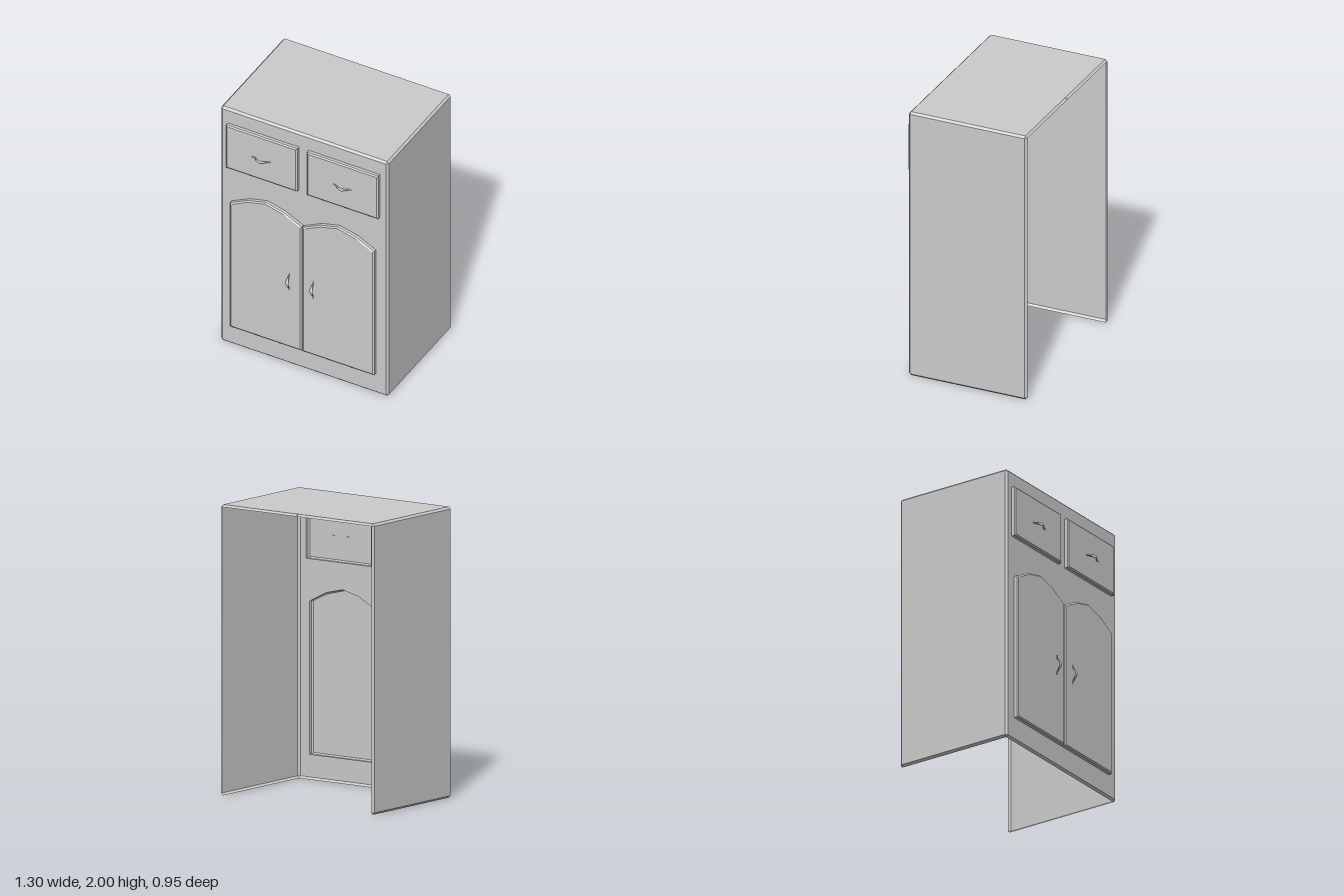
import * as THREE from 'three';

const material = new THREE.MeshStandardMaterial({ color: 0xcccccc, flatShading: true, side: THREE.DoubleSide });
const smooth = new THREE.MeshStandardMaterial({ color: 0xcccccc });

// Outer (a) and chamfer-inset (b) limits of the open carcass
const XA = 0.65, XB = 0.635, BOTTOM = 0, YB = 0.015, YT = 1.985, TOP = 2;
const BACK = -0.475, ZB = -0.46, ZF = 0.395, FRONT = 0.41;
const PANEL_Z = 0.44, BEVEL = 0.01;

function add(group, name, geometry, mat = material) {
  const mesh = new THREE.Mesh(geometry, mat);
  mesh.name = name;
  group.add(mesh);
  return mesh;
}

// Flat polygons given as corner lists, fanned into triangles
function polygons(list) {
  const pos = [];
  for (const p of list)
    for (let i = 1; i < p.length - 1; i++) pos.push(...p[0], ...p[i], ...p[i + 1]);
  const g = new THREE.BufferGeometry();
  g.setAttribute('position', new THREE.Float32BufferAttribute(pos, 3));
  g.computeVertexNormals();
  return g;
}

const toShape = (pts) => new THREE.Shape(pts.map(([x, y]) => new THREE.Vector2(x, y)));

// Rectangle with an optional polygonal arch on top
function outline(x0, x1, y0, y1, rise = 0) {
  const pts = [[x0, y0], [x1, y0], [x1, y1]];
  const w = x1 - x0;
  if (rise) pts.push([x0 + w * 0.75, y1 + rise * 0.67], [x0 + w / 2, y1 + rise], [x0 + w * 0.25, y1 + rise * 0.67]);
  pts.push([x0, y1]);
  return pts;
}

// Hollow panel pushed out of the front, with a bevelled rim
function panel(group, name, pts) {
  const xs = pts.map((p) => p[0]), ys = pts.map((p) => p[1]);
  const inset = (v, all) => {
    const lo = Math.min(...all), hi = Math.max(...all), mid = (lo + hi) / 2;
    return mid + (v - mid) * (1 - 2 * BEVEL / (hi - lo));
  };
  const inner = pts.map(([x, y]) => [inset(x, xs), inset(y, ys)]);
  const rings = [
    pts.map((p) => [...p, FRONT]),
    pts.map((p) => [...p, PANEL_Z - 0.008]),
    inner.map((p) => [...p, PANEL_Z]),
  ];
  const faces = [];
  for (let r = 0; r < 2; r++)
    pts.forEach((_, i) => {
      const j = (i + 1) % pts.length;
      faces.push([rings[r][i], rings[r][j], rings[r + 1][j], rings[r + 1][i]]);
    });
  add(group, name + 'Rim', polygons(faces));
  add(group, name + 'Face', new THREE.ShapeGeometry(toShape(inner)).translate(0, 0, PANEL_Z));
}

// Bowed pull, thin at the ends and swollen in the middle
function handle(group, name, x, y, vertical) {
  const pts = [[-0.072, 0], [-0.05, 0.002], [-0.028, 0.019], [0, 0.029], [0.028, 0.019], [0.05, 0.002], [0.072, 0]];
  const curve = new THREE.CatmullRomCurve3(pts.map(([u, z]) => new THREE.Vector3(u, 0, z)));
  const g = new THREE.TubeGeometry(curve, 28, 0.0045, 10);
  const p = g.attributes.position;
  for (let i = 0; i < p.count; i++) {
    const swell = Math.exp(-Math.pow(p.getX(i) / 0.03, 2));
    p.setY(i, p.getY(i) * (0.8 + 2.1 * swell));
  }
  g.computeVertexNormals();
  const mesh = add(group, name, g, smooth);
  mesh.position.set(x, y, PANEL_Z + 0.002);
  if (vertical) mesh.rotation.z = Math.PI / 2;
}

export function createModel() {
  const group = new THREE.Group();

  const drawers = [outline(-0.592, -0.04, 1.515, 1.88), outline(0.035, 0.587, 1.515, 1.88)];
  const doors = [outline(-0.562, -0.006, 0.17, 1.225, 0.105), outline(0.001, 0.557, 0.17, 1.225, 0.105)];

  // Front board with an opening behind each drawer and door
  const board = toShape(outline(-XB, XB, YB, YT));
  for (const pts of [...drawers, ...doors]) board.holes.push(toShape(pts));
  add(group, 'frontBoard', new THREE.ShapeGeometry(board).translate(0, 0, FRONT));

  // Top, with chamfers; the rear one is split at the centre
  const gap = 0.004;
  add(group, 'top', polygons([
    [[-XB, TOP, ZF], [XB, TOP, ZF], [XB, TOP, ZB], [-XB, TOP, ZB]],
    [[-XB, YT, FRONT], [XB, YT, FRONT], [XB, TOP, ZF], [-XB, TOP, ZF]],
    [[-gap, YT, BACK], [-XB, YT, BACK], [-XB, TOP, ZB], [-gap, TOP, ZB]],
    [[XB, YT, BACK], [gap, YT, BACK], [gap, TOP, ZB], [XB, TOP, ZB]],
  ]));
  add(group, 'bottomFrontChamfer', polygons([
    [[-XB, BOTTOM, ZF], [XB, BOTTOM, ZF], [XB, YB, FRONT], [-XB, YB, FRONT]],
  ]));

  // Sides with chamfers and corner facets
  for (const s of [1, -1]) {
    const faces = [
      [[XA, YB, ZF], [XA, YB, ZB], [XA, YT, ZB], [XA, YT, ZF]],
      [[XB, YB, FRONT], [XA, YB, ZF], [XA, YT, ZF], [XB, YT, FRONT]],
      [[XA, YB, ZB], [XB, YB, BACK], [XB, YT, BACK], [XA, YT, ZB]],
      [[XA, YT, ZF], [XA, YT, ZB], [XB, TOP, ZB], [XB, TOP, ZF]],
      [[XB, BOTTOM, ZF], [XB, BOTTOM, ZB], [XA, YB, ZB], [XA, YB, ZF]],
      [[XB, YT, FRONT], [XA, YT, ZF], [XB, TOP, ZF]],
      [[XA, YT, ZB], [XB, YT, BACK], [XB, TOP, ZB]],
      [[XB, BOTTOM, ZF], [XA, YB, ZF], [XB, YB, FRONT]],
      [[XB, BOTTOM, ZB], [XB, YB, BACK], [XA, YB, ZB]],
    ].map((f) => {
      const m = f.map(([x, y, z]) => [x * s, y, z]);
      return s > 0 ? m : m.reverse();
    });
    add(group, s > 0 ? 'leftSide' : 'rightSide', polygons(faces));
  }

  // Drawers, doors and their pulls
  ['right', 'left'].forEach((side, i) => {
    panel(group, side + 'Drawer', drawers[i]);
    panel(group, side + 'Door', doors[i]);
    handle(group, side + 'DrawerHandle', [-0.313, 0.315][i], 1.69, false);
    handle(group, side + 'DoorHandle', [-0.1, 0.087][i], 0.73, true);
  });

  return group;
}
